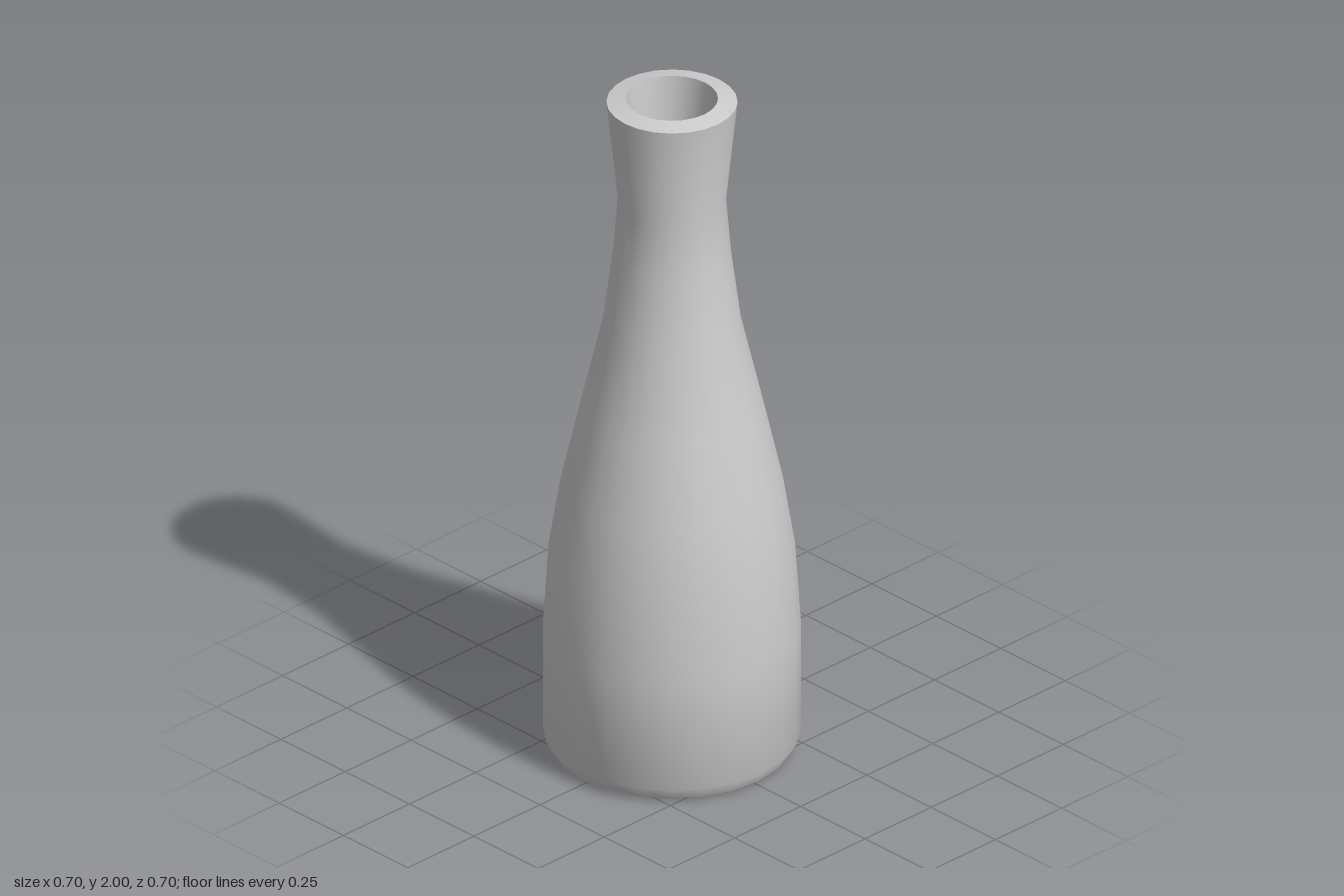
import * as THREE from 'three';
import { toCreasedNormals } from 'three/addons/utils/BufferGeometryUtils.js';

export function createModel() {
  const group = new THREE.Group();
  group.name = 'bottle';
  const grey = new THREE.MeshStandardMaterial({ color: 0xcccccc });
  grey.name = 'pale grey';

  // Outer wall from the base centre up to the lip, as [radius, height]
  const outer = [
    [0, 0], [0.29, 0], [0.332, 0.01], [0.35, 0.045], [0.35, 0.37],
    [0.334, 0.62], [0.302, 0.82], [0.25, 1.05], [0.187, 1.32],
    [0.16, 1.53], [0.147, 1.69], [0.178, 1.99],
  ];
  // Inner wall from the lip down to the floor of the hollow
  const inner = [
    [0.125, 2], [0.093, 1.69], [0.107, 1.53], [0.134, 1.32], [0.197, 1.05],
    [0.249, 0.82], [0.281, 0.62], [0.297, 0.37], [0.297, 0.06], [0, 0.06],
  ];
  const profile = [...outer, ...inner].map(([r, y]) => new THREE.Vector2(r, y));

  // One turned shell, smooth round the body and sharp at the lip
  const shell = toCreasedNormals(new THREE.LatheGeometry(profile, 24), 0.6);
  const body = new THREE.Mesh(shell, grey);
  body.name = 'bottleBody';
  group.add(body);
  return group;
}
